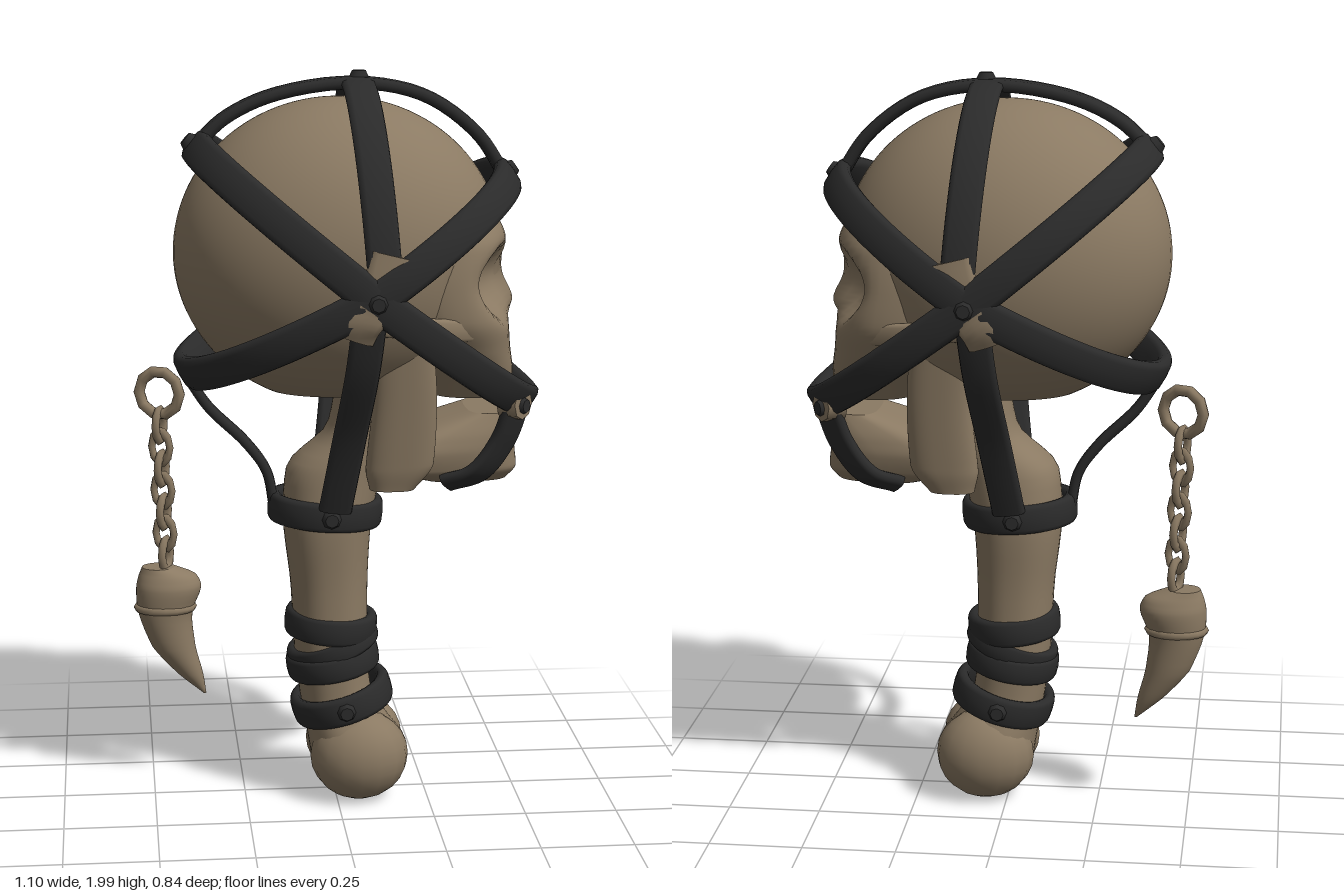
import * as THREE from 'three';

const V = (x, y, z) => new THREE.Vector3(x, y, z);

// Skin a list of rings (each counter-clockwise about the direction of travel)
function loft(rings, loop = false) {
  const n = rings[0].length, m = rings.length, pos = [], idx = [];
  rings.forEach(r => r.forEach(p => pos.push(p.x, p.y, p.z)));
  for (let j = 0; j < (loop ? m : m - 1); j++) {
    for (let i = 0; i < n; i++) {
      const k = (i + 1) % n, q = (j + 1) % m;
      const a = j * n + i, b = j * n + k, c = q * n + i, d = q * n + k;
      idx.push(a, b, d, a, d, c);
    }
  }
  if (!loop) {
    [[rings[0], true], [rings[m - 1], false]].forEach(([r, flip]) => {
      const s = pos.length / 3, mid = V(0, 0, 0);
      r.forEach(p => { mid.add(p); pos.push(p.x, p.y, p.z); });
      mid.divideScalar(n);
      pos.push(mid.x, mid.y, mid.z);
      for (let i = 0; i < n; i++) {
        const k = (i + 1) % n;
        idx.push(s + n, s + (flip ? k : i), s + (flip ? i : k));
      }
    });
  }
  const g = new THREE.BufferGeometry();
  g.setAttribute('position', new THREE.Float32BufferAttribute(pos, 3));
  g.setIndex(idx);
  g.computeVertexNormals();
  return g;
}

const soft = (v, e) => Math.sign(v) * Math.abs(v) ** e;

// Flat rounded strap along a path; side is the direction of its width
function strap(points, side, width, thick, loop = false, steps = 32) {
  const curve = new THREE.CatmullRomCurve3(points, loop);
  const rings = [];
  for (let j = 0; j < (loop ? steps : steps + 1); j++) {
    const p = curve.getPoint(j / steps), t = curve.getTangent(j / steps);
    const n = t.clone().cross(side).normalize(), w = n.clone().cross(t);
    const ring = [];
    for (let i = 0; i < 12; i++) {
      const a = i / 12 * Math.PI * 2;
      ring.push(p.clone().addScaledVector(w, soft(Math.cos(a), 0.6) * width / 2)
        .addScaledVector(n, soft(Math.sin(a), 0.7) * thick / 2));
    }
    rings.push(ring);
  }
  return loft(rings, loop);
}

// Upright body from rows [y, centre x, half size x, half size z], smoothed between rows
function column(rows, z0 = 0, power = 1, steps = 24, rule = p => p) {
  const size = new THREE.CatmullRomCurve3(rows.map(r => V(r[1], r[2], r[3])));
  const rise = new THREE.CatmullRomCurve3(rows.map(r => V(0, r[0], 0)));
  const rings = [];
  for (let j = 0; j <= steps; j++) {
    const s = size.getPoint(j / steps), y = rise.getPoint(j / steps).y, ring = [];
    for (let i = 0; i < 48; i++) {
      const a = i / 48 * Math.PI * 2;
      ring.push(rule(V(s.x + s.y * soft(Math.sin(a), power), y, z0 + s.z * soft(Math.cos(a), power))));
    }
    rings.push(ring);
  }
  return loft(rings);
}

// Eye sockets, nose opening and nose bridge
function carve(p) {
  if (p.x < 0.2) return p;
  const bump = (z, y, rz, ry, e) =>
    Math.exp(-((((Math.abs(p.z) - z) / rz) ** 2 + ((p.y - y) / ry) ** 2) ** e));
  p.x += -0.075 * bump(0.145, 1.45, 0.1, 0.085, 2) - 0.05 * bump(0, 1.3, 0.025, 0.05, 2)
    + 0.025 * bump(0, 1.39, 0.045, 0.05, 1);
  return p;
}

export function createModel() {
  const group = new THREE.Group();
  const bone = new THREE.MeshStandardMaterial({ color: 0x8b7a63 });
  bone.name = 'bone';
  const leather = new THREE.MeshStandardMaterial({ color: 0x2b2b2b });
  leather.name = 'dark leather';
  const add = (name, geo, mat) => {
    const m = new THREE.Mesh(geo, mat);
    m.name = name;
    group.add(m);
    return m;
  };
  const X = V(1, 0, 0), Y = V(0, 1, 0), Z = V(0, 0, 1);

  // Cranium with a flattened base
  const cranium = new THREE.SphereGeometry(1, 64, 56).scale(0.44, 0.41, 0.35).translate(0.01, 1.52, 0);
  const cp = cranium.attributes.position;
  for (let i = 0; i < cp.count; i++) {
    const p = carve(V(cp.getX(i), Math.max(cp.getY(i), 1.15), cp.getZ(i)));
    cp.setXYZ(i, p.x, p.y, p.z);
  }
  cranium.computeVertexNormals();
  add('cranium', cranium, bone);

  // Face
  add('face', column([
    [1.14, 0.36, 0.115, 0.14], [1.2, 0.34, 0.14, 0.18], [1.27, 0.31, 0.16, 0.235], [1.36, 0.295, 0.165, 0.28],
    [1.46, 0.28, 0.17, 0.28], [1.56, 0.27, 0.185, 0.265], [1.64, 0.24, 0.175, 0.22], [1.72, 0.2, 0.12, 0.15],
  ], 0, 0.82, 48, carve), bone);

  // Jaw: body that widens towards the back, upright branches and cheek arches
  add('jaw', column([[0.9, 0.35, 0.12, 0.09], [0.935, 0.3, 0.195, 0.13], [0.98, 0.285, 0.205, 0.14],
    [1.03, 0.33, 0.16, 0.135], [1.09, 0.42, 0.065, 0.11]], 0, 0.65, 24, p => {
    p.z *= 1 + 0.9 * (0.4 - p.x);
    return p;
  }), bone);
  for (const s of [1, -1]) {
    add('jawBranch', column([[0.9, 0.14, 0.06, 0.04], [0.97, 0.16, 0.09, 0.045], [1.15, 0.17, 0.085, 0.04],
      [1.33, 0.16, 0.08, 0.035]], s * 0.21, 0.8, 24, p => {
      p.z -= s * 0.13 * (1.33 - p.y);
      return p;
    }), bone);
    add('cheekArch', strap([V(0.36, 1.34, s * 0.235), V(0.25, 1.35, s * 0.285), V(0.1, 1.37, s * 0.315)], Y, 0.06, 0.035), bone);
  }

  // Bone handle and its two-lobed end
  add('handle', column([
    [0.03, 0.06, 0.085, 0.1], [0.08, 0.065, 0.125, 0.15], [0.14, 0.065, 0.135, 0.17], [0.2, 0.04, 0.12, 0.155],
    [0.28, 0.005, 0.1, 0.125], [0.4, -0.01, 0.1, 0.125], [0.6, -0.015, 0.105, 0.125], [0.78, -0.02, 0.12, 0.135],
    [0.93, 0.0, 0.13, 0.125], [1.04, 0.08, 0.1, 0.11], [1.2, 0.12, 0.11, 0.12],
  ], 0, 0.88, 44), bone);
  for (const s of [1, -1]) {
    add('handleKnob', new THREE.SphereGeometry(1, 16, 12).scale(0.135, 0.125, 0.11).translate(0.062, 0.13, s * 0.08), bone);
  }

  // Straight-sided half loops running from one temple to the other
  const hub = V(0.07, 1.445, 0);
  const halfLoop = (name, x, y, power) => {
    const pts = [], dx = x - hub.x, dy = y - hub.y;
    for (let i = 0; i <= 20; i++) {
      const a = i / 20 * Math.PI, r = Math.abs(Math.sin(a)) ** power;
      pts.push(V(hub.x + dx * r, hub.y + dy * r, 0.385 * Math.cos(a)));
    }
    add(name, strap(pts, V(-dy, dx, 0).normalize(), 0.095, 0.045, false, 60), leather);
  };
  halfLoop('foreheadStrap', 0.46, 1.722, 0.95);
  halfLoop('upperBackStrap', -0.365, 1.8, 0.86);
  halfLoop('mouthStrap', 0.515, 1.115, 0.85);
  halfLoop('lowerBackStrap', -0.4, 1.205, 0.86);

  // Crown straps
  const cross = [];
  for (let i = 0; i <= 20; i++) {
    const a = i / 20 * Math.PI, h = Math.abs(Math.sin(a)) ** 0.95;
    cross.push(V(0.1 - 0.04 * h, 1.445 + 0.52 * h, 0.38 * Math.cos(a)));
  }
  add('crossCrownStrap', strap(cross, X, 0.09, 0.03, false, 60), leather);
  add('midCrownStrap', strap([V(-0.37, 1.8, 0), V(-0.29, 1.875, 0), V(-0.16, 1.935, 0), V(0.06, 1.965, 0),
    V(0.24, 1.93, 0), V(0.38, 1.83, 0), V(0.455, 1.72, 0)], Z, 0.085, 0.035), leather);

  // Neck collar and handle wraps: tilted oval loops
  const collar = (name, x, y, rx, rz, tilt, width) => {
    const pts = [];
    for (let i = 0; i < 16; i++) {
      const a = i / 16 * Math.PI * 2;
      pts.push(V(x + rx * Math.sin(a), y + tilt * Math.sin(a), rz * Math.cos(a)));
    }
    add(name, strap(pts, V(-tilt, rx, 0).normalize(), width, 0.035, true), leather);
  };
  collar('neckCollar', -0.025, 0.815, 0.14, 0.13, -0.01, 0.08);
  collar('upperWrap', -0.01, 0.49, 0.11, 0.12, -0.01, 0.075);
  collar('middleWrap', -0.005, 0.43, 0.105, 0.115, 0.04, 0.06);
  collar('middleWrap', -0.005, 0.385, 0.11, 0.12, 0.02, 0.07);
  collar('lowerWrap', 0.02, 0.275, 0.12, 0.14, 0.035, 0.08);

  // Side, chin and nape straps
  for (const s of [1, -1]) {
    add('sideStrap', strap([V(0.06, 1.42, s * 0.372), V(0.045, 1.25, s * 0.32), V(0.02, 1.05, s * 0.22),
      V(-0.01, 0.84, s * 0.14)], X, 0.09, 0.035), leather);
    add('chinStrap', strap([V(0.47, 1.14, s * 0.19), V(0.435, 1.03, s * 0.17), V(0.37, 0.94, s * 0.155),
      V(0.29, 0.905, s * 0.12)], V(0.8, -0.4, -0.6 * s), 0.08, 0.035), leather);
  }
  add('napeStrap', strap([V(-0.4, 1.19, 0), V(-0.34, 1.1, 0), V(-0.24, 1.0, 0), V(-0.185, 0.92, 0),
    V(-0.165, 0.82, 0)], Z, 0.06, 0.028), leather);

  // Rivets, and the bone tabs at the temple and mouth joints
  const stud = (name, at, dir, r0, r1, h, mat) => {
    const m = add(name, new THREE.CylinderGeometry(r0, r1, h, 8), mat);
    m.position.copy(at);
    m.quaternion.setFromUnitVectors(Y, dir.clone().normalize());
  };
  const rivet = (at, dir) => stud('rivet', at, dir, 0.018, 0.03, 0.025, leather);
  rivet(V(0.065, 1.985, 0), Y);
  rivet(V(-0.385, 1.815, 0), V(-1, 0.85, 0));
  rivet(V(0.475, 1.735, 0), V(1, 0.7, 0));
  for (const s of [1, -1]) {
    add('upperTempleTab', strap([V(0.085, 1.45, s * 0.378), V(0.1, 1.5, s * 0.378), V(0.115, 1.56, s * 0.374)],
      X, 0.115, 0.036, false, 6), bone);
    add('lowerTempleTab', strap([V(0.06, 1.42, s * 0.384), V(0.035, 1.385, s * 0.381), V(0.02, 1.35, s * 0.366)],
      X, 0.105, 0.046, false, 6), bone);
    rivet(V(0.075, 1.44, s * 0.408), V(0, 0, s));
    stud('mouthTab', V(0.462, 1.135, s * 0.187), V(1, 0, s * 0.9), 0.042, 0.046, 0.056, bone);
    rivet(V(0.482, 1.13, s * 0.202), V(1, 0, s * 0.9));
    rivet(V(-0.02, 0.815, s * 0.15), V(0, 0, s));
    rivet(V(0.02, 0.275, s * 0.158), V(0, 0, s));
  }

  // Hanging charm: ring, chain and fang
  const cx = -0.47, cz = -0.1;
  const ring = add('charmRing', new THREE.TorusGeometry(0.06, 0.016, 8, 10), bone);
  ring.position.set(cx, 1.12, cz);
  ring.rotation.y = -0.45;
  for (let i = 0; i < 7; i++) {
    const link = add('chainLink', new THREE.TorusGeometry(0.027, 0.011, 6, 10).scale(1, 1.5, 1), bone);
    link.position.set(cx + 0.002 * i, 1.03 - i * 0.061, cz);
    link.rotation.y = (i % 2 ? 0 : Math.PI / 2) - 0.45;
  }
  add('fang', column([[0.26, -0.355, 0.004, 0.004], [0.32, -0.395, 0.035, 0.03], [0.4, -0.44, 0.06, 0.05],
    [0.5, -0.462, 0.075, 0.06], [0.57, -0.452, 0.09, 0.067], [0.605, -0.455, 0.08, 0.055], [0.63, -0.48, 0.045, 0.04]], cz), bone);
  add('fangBand', new THREE.TorusGeometry(1, 0.14, 6, 16).rotateX(Math.PI / 2).scale(0.077, 0.08, 0.06)
    .translate(-0.462, 0.515, cz), bone);

  return group;
}
